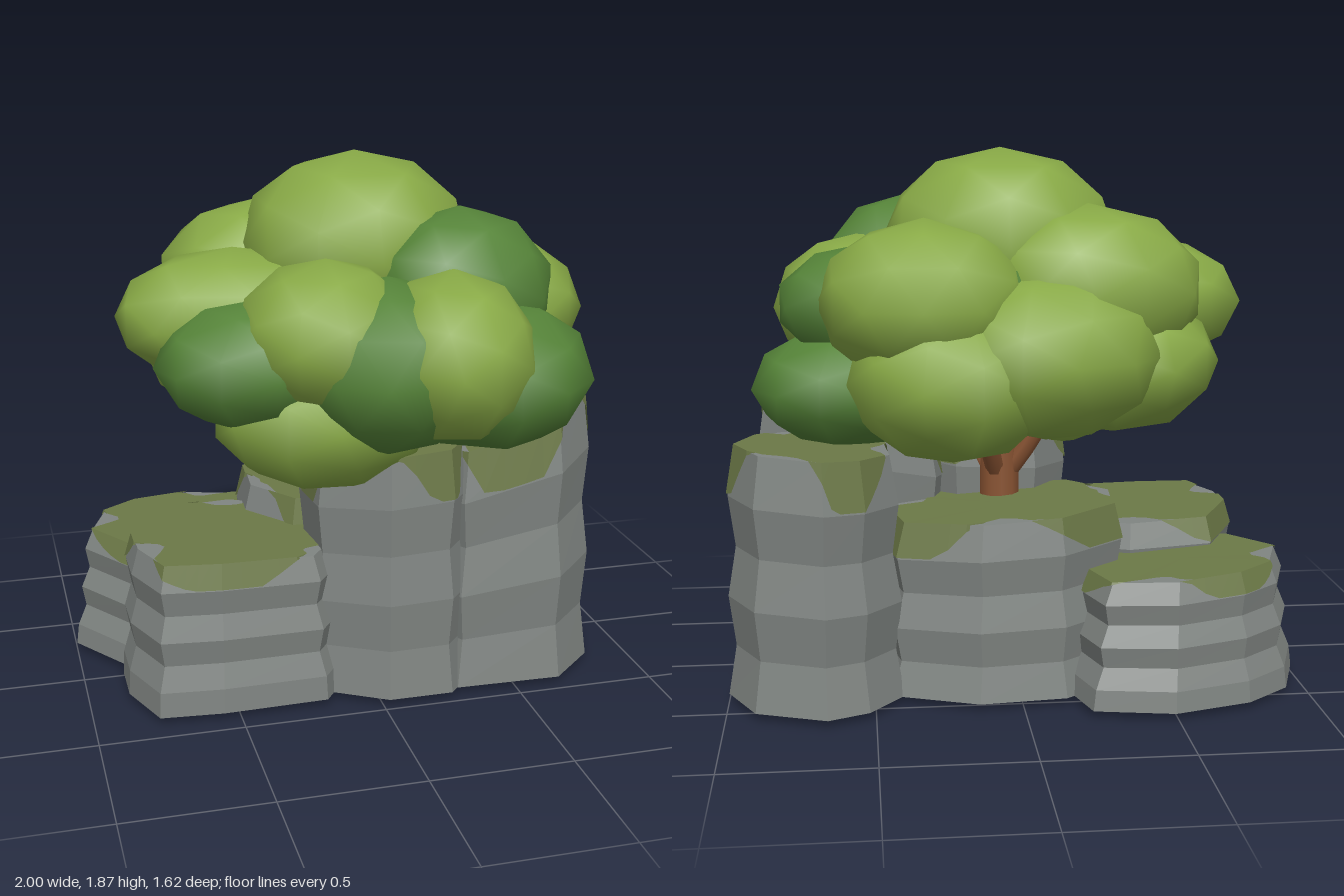
import * as THREE from 'three';

const material = (name, color, side = THREE.FrontSide) => {
  const m = new THREE.MeshStandardMaterial({ color, side });
  m.name = name;
  return m;
};

// Rocks: footprint corners [x, z], height, slope along x, rows, taper, ridge depth,
// and the wave count and phase of the moss hem
const ROCKS = [
  { name: 'lowBackRock', h: 0.46, slope: -0.04, rows: 6, taper: 0.14, ridge: 0.055, wave: [3, 1.7],
    foot: [[-0.14, -0.38], [-0.28, -0.1], [-0.55, 0], [-0.84, -0.03], [-1, -0.27], [-0.92, -0.5], [-0.76, -0.63], [-0.49, -0.71], [-0.22, -0.66]] },
  { name: 'lowFrontRock', h: 0.56, slope: -0.02, rows: 6, taper: 0.08, ridge: 0.055, wave: [3, 1.9],
    foot: [[-0.1, 0.05], [-0.12, 0.32], [-0.19, 0.42], [-0.56, 0.43], [-0.78, 0.41], [-0.86, 0.2], [-0.86, 0.03], [-0.72, -0.25], [-0.4, -0.3], [-0.2, -0.2]] },
  { name: 'middleFrontRock', h: 0.91, slope: 0.08, rows: 5, taper: 0.04, ridge: 0.06, wave: [3, -3.1],
    foot: [[0.38, 0.1], [0.32, 0.4], [0.25, 0.48], [0.02, 0.48], [-0.21, 0.34], [-0.23, 0.12], [-0.1, -0.05], [0.2, -0.08]] },
  { name: 'tallFrontRock', h: 0.96, slope: 0.3, rows: 5, taper: 0.08, ridge: 0.065, wave: [4, 0.1],
    foot: [[0.92, 0.02], [0.83, 0.3], [0.66, 0.46], [0.28, 0.45], [0.15, 0.2], [0.25, -0.1], [0.5, -0.2], [0.8, -0.1]] },
  { name: 'tallBackRock', h: 0.88, slope: 0.06, rows: 5, taper: 0.06, ridge: 0.085, wave: [3, 1],
    foot: [[1, -0.37], [0.93, -0.17], [0.83, -0.07], [0.6, -0.04], [0.42, -0.2], [0.4, -0.45], [0.52, -0.6], [0.66, -0.66], [0.9, -0.57]] },
  { name: 'centreRock', h: 0.64, slope: -0.04, rows: 5, taper: 0.06, ridge: 0.06, wave: [3, 3.9],
    foot: [[0.5, -0.15], [0.3, 0.1], [-0.25, 0.1], [-0.4, -0.1], [-0.38, -0.35], [-0.15, -0.53], [0.15, -0.56], [0.44, -0.45]] },
];

// Leaf clumps: centre x, y, z, then radii x, y, z
const LIGHT_CLUMPS = [
  [0.04, 1.54, -0.1, 0.42, 0.335, 0.4],
  [-0.42, 1.33, 0, 0.42, 0.24, 0.31],
  [-0.17, 1.32, 0.33, 0.31, 0.26, 0.32],
  [0.23, 1.26, 0.46, 0.28, 0.29, 0.36],
  [-0.15, 1.04, 0.23, 0.4, 0.28, 0.35],
  [0.5, 1.32, 0.03, 0.34, 0.26, 0.34],
  [0.32, 1.37, -0.41, 0.36, 0.28, 0.36],
  [0.23, 1.12, -0.46, 0.36, 0.28, 0.36],
  [-0.24, 1.4, -0.31, 0.4, 0.29, 0.34],
  [-0.08, 1.2, -0.45, 0.39, 0.29, 0.37],
  [-0.34, 1.15, -0.27, 0.36, 0.25, 0.35],
  [0, 1.14, 0, 0.5, 0.28, 0.45],
];
const DARK_CLUMPS = [
  [-0.37, 1.22, 0.24, 0.37, 0.23, 0.3],
  [0.03, 1.22, 0.38, 0.33, 0.3, 0.36],
  [0.38, 1.17, 0.38, 0.37, 0.26, 0.37],
  [0.34, 1.41, 0.18, 0.34, 0.3, 0.31],
  [0.48, 1.35, -0.22, 0.34, 0.21, 0.28],
  [0.56, 1.07, -0.23, 0.35, 0.21, 0.33],
  [0.12, 1.32, -0.45, 0.2, 0.2, 0.22],
];

function flatGeometry(points) {
  const g = new THREE.BufferGeometry();
  g.setAttribute('position', new THREE.Float32BufferAttribute(points.flat(), 3));
  g.computeVertexNormals();
  return g;
}

const mix = (a, b, t) => a.map((v, i) => v + (b[i] - v) * t);

// Ridged column: the footprint repeated in rows, alternately wide and narrow, ending narrow
function rockRings({ foot, h, slope, rows, taper, ridge }) {
  const cx = foot.reduce((s, p) => s + p[0], 0) / foot.length;
  const cz = foot.reduce((s, p) => s + p[1], 0) / foot.length;
  const rings = [];
  for (let r = 0; r <= rows; r++) {
    const t = r / rows;
    const s = 1 - taper * t - (r > 0 && (rows - r) % 2 === 0 ? ridge : 0);
    rings.push(foot.map(([x, z]) => {
      const px = cx + (x - cx) * s, pz = cz + (z - cz) * s;
      return [px, 0.025 + (h - 0.025 + slope * (px - cx)) * t, pz];
    }));
  }
  return { rings, cx, cz };
}

function rockGeometry({ rings, cx, cz }, h) {
  const tris = [], n = rings[0].length, top = rings[rings.length - 1];
  for (let i = 0; i < n; i++) {
    const j = (i + 1) % n;
    for (let r = 0; r < rings.length - 1; r++) {
      const a = rings[r], b = rings[r + 1];
      tris.push(a[i], b[i], a[j], b[i], b[j], a[j]);
    }
    tris.push([cx, h, cz], top[j], top[i], [cx, 0.025, cz], rings[0][i], rings[0][j]);
  }
  return flatGeometry(tris);
}

// Moss: a thin cap whose wavy hem hangs over the top row or draws back from the rim
function mossGeometry({ rings, cx, cz }, h, [count, phase]) {
  const tris = [], n = rings[0].length, steps = 5;
  const top = rings[rings.length - 1], below = rings[rings.length - 2];
  const lift = ([x, y, z]) => {
    const d = Math.hypot(x - cx, z - cz);
    return [x + (x - cx) / d * 0.006, y + 0.004, z + (z - cz) / d * 0.006];
  };
  const column = (k, i, j, u) => {
    const a = k / (n * steps) * Math.PI * 2;
    const w = 0.45 + 0.85 * Math.sin(count * a + phase) + 0.15 * Math.sin(7 * a + phase);
    const rim = mix(top[i], top[j], u);
    const drop = THREE.MathUtils.clamp(w, 0, 0.98);
    return {
      drop,
      cap: lift(mix(rim, [cx, h, cz], Math.max(0, -w) * 0.5)),
      hem: lift(mix(rim, mix(below[i], below[j], u), drop)),
    };
  };
  for (let k = 0; k < n * steps; k++) {
    const i = Math.floor(k / steps), j = (i + 1) % n, u = (k % steps) / steps;
    const p = column(k, i, j, u), q = column(k + 1, i, j, u + 1 / steps);
    tris.push([cx, h + 0.004, cz], q.cap, p.cap);
    if (p.drop > 0) tris.push(p.hem, p.cap, q.hem);
    if (q.drop > 0) tris.push(p.cap, q.cap, q.hem);
  }
  return flatGeometry(tris);
}

export function createModel() {
  const model = new THREE.Group();
  model.name = 'treeOnRocks';
  const stone = material('stone grey', 0x808582);
  const moss = material('moss olive', 0x6c7947, THREE.DoubleSide);
  const light = material('light leaf green', 0x88a946);
  const dark = material('dark leaf green', 0x558338);
  const bark = material('bark brown', 0x8a5433);

  const add = (parent, name, geometry, mat) => {
    const mesh = new THREE.Mesh(geometry, mat);
    mesh.name = name;
    parent.add(mesh);
    return mesh;
  };

  // Rocks with moss
  for (const rock of ROCKS) {
    const shape = rockRings(rock);
    add(model, rock.name, rockGeometry(shape, rock.h), stone);
    add(model, rock.name + 'Moss', mossGeometry(shape, rock.h, rock.wave), moss);
  }

  // Trunk, branches and roots
  const tree = new THREE.Group();
  tree.name = 'trunkAndRoots';
  tree.position.set(0.04, 0, -0.06);
  model.add(tree);
  add(tree, 'trunk', new THREE.CylinderGeometry(0.07, 0.075, 1.08, 10), bark).position.y = 0.56;
  const foot = add(tree, 'trunkFoot', new THREE.SphereGeometry(0.085, 10, 6), bark);
  foot.scale.y = 0.3;
  foot.position.y = 0.026;
  for (let i = 0; i < 4; i++) {
    const a = i * Math.PI / 2 + 0.4, c = Math.cos(a), s = Math.sin(a);
    const path = new THREE.CatmullRomCurve3([
      new THREE.Vector3(0, 0.68, 0),
      new THREE.Vector3(c * 0.12, 0.85, s * 0.12),
      new THREE.Vector3(c * 0.25, 1.1, s * 0.25),
    ]);
    add(tree, 'branch', new THREE.TubeGeometry(path, 6, 0.035, 7), bark);
  }
  for (let i = 0; i < 5; i++) {
    const a = i * Math.PI * 0.4 + 0.3;
    const root = add(tree, 'root', new THREE.SphereGeometry(1, 8, 6), bark);
    root.scale.set(0.1, 0.02, 0.025);
    root.position.set(Math.cos(a) * 0.16, 0.022, Math.sin(a) * 0.16);
    root.rotation.y = -a;
  }

  // Leafy crown of overlapping faceted clumps with soft shading
  const crown = new THREE.Group();
  crown.name = 'crown';
  model.add(crown);
  const addClumps = (list, name, mat) => list.forEach(([x, y, z, rx, ry, rz], i) => {
    const clump = new THREE.IcosahedronGeometry(1, 1);
    clump.rotateY(i * 1.3).scale(rx, ry, rz);
    add(crown, name, clump, mat).position.set(x, y, z);
  });
  addClumps(LIGHT_CLUMPS, 'lightLeafClump', light);
  addClumps(DARK_CLUMPS, 'darkLeafClump', dark);

  return model;
}
